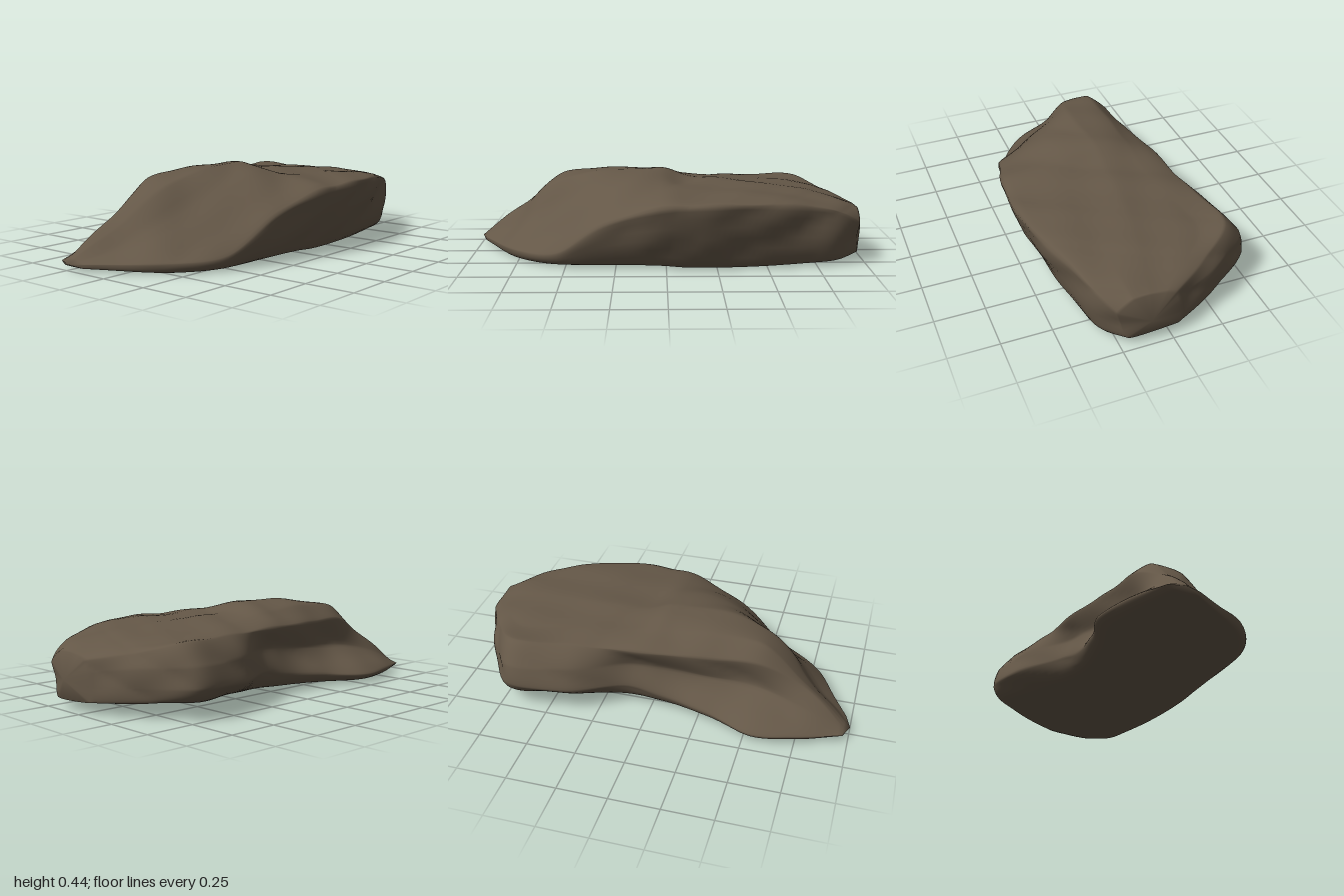
import * as THREE from 'three';

// Stations along the rock, front to back
const Z = [0.97, 0.75, 0.54, 0.3, 0.03, -0.11, -0.4, -0.7, -0.86, -0.97];

const rail = (xs, ys) =>
  new THREE.CatmullRomCurve3(Z.map((z, i) => new THREE.Vector3(xs[i], ys[i], z)));

// Lengthwise edges of the rock, in order round the cross-section
const baseLeft = rail(
  [-0.3, -0.36, -0.38, -0.31, -0.27, -0.28, -0.36, -0.43, -0.26, -0.05],
  [0.02, 0.01, 0.01, 0.02, 0.03, 0.04, 0.06, 0.08, 0.07, 0.06]);
const footLeft = rail(
  [-0.33, -0.41, -0.45, -0.37, -0.33, -0.35, -0.48, -0.51, -0.29, -0.05],
  [0.04, 0.05, 0.05, 0.07, 0.1, 0.13, 0.14, 0.15, 0.14, 0.13]);
const waistLeft = rail(
  [-0.3, -0.29, -0.25, -0.25, -0.29, -0.31, -0.45, -0.49, -0.27, -0.04],
  [0.05, 0.14, 0.18, 0.2, 0.23, 0.24, 0.25, 0.25, 0.23, 0.2]);
const ridgeLeft = rail(
  [-0.28, -0.23, -0.26, -0.28, -0.33, -0.34, -0.37, -0.4, -0.21, -0.02],
  [0.055, 0.22, 0.33, 0.335, 0.345, 0.345, 0.35, 0.345, 0.29, 0.25]);
const crestLeft = rail(
  [-0.26, -0.2, -0.18, -0.18, -0.2, -0.2, -0.22, -0.26, -0.1, 0.02],
  [0.06, 0.23, 0.395, 0.41, 0.41, 0.385, 0.36, 0.335, 0.3, 0.265]);
const crest = rail(
  [-0.24, -0.13, -0.03, 0, -0.02, -0.02, 0, 0.04, 0.08, 0.1],
  [0.06, 0.215, 0.385, 0.435, 0.445, 0.4, 0.375, 0.35, 0.315, 0.275]);
const shoulderRight = rail(
  [-0.21, 0.01, 0.12, 0.18, 0.17, 0.18, 0.22, 0.21, 0.2, 0.18],
  [0.05, 0.14, 0.24, 0.375, 0.41, 0.385, 0.37, 0.345, 0.315, 0.27]);
const rimRight = rail(
  [-0.17, 0.19, 0.33, 0.42, 0.48, 0.495, 0.48, 0.38, 0.33, 0.25],
  [0.04, 0.06, 0.08, 0.24, 0.325, 0.34, 0.345, 0.315, 0.28, 0.21]);
const baseRight = rail(
  [-0.18, 0.15, 0.28, 0.33, 0.35, 0.35, 0.34, 0.31, 0.28, 0.2],
  [0.02, 0.01, 0.01, 0.02, 0.02, 0.01, 0.01, 0.02, 0.03, 0.05]);
const rails = [baseLeft, footLeft, waistLeft, ridgeLeft, crestLeft,
  crest, shoulderRight, rimRight, baseRight];

// Gentle lumps and chips, as an outward offset
function lumps({ x, y, z }) {
  const broad = Math.sin(7 * x + 5 * z + 1) * Math.sin(9 * y - 6 * z + 2 * x);
  const fine = Math.sin(17 * x - 9 * z + 8 * y) * Math.sin(13 * z + 15 * y + 2 + 6 * x);
  const chips = Math.abs(Math.sin(8 * z + 19 * y - 5 * x)) - 0.6;
  return 0.005 * broad + 0.006 * fine + 0.006 * chips;
}

function rockGeometry(rings = 90, sides = 72) {
  const points = [];
  for (let i = 0; i <= rings; i++) {
    const section = new THREE.CatmullRomCurve3(
      rails.map((r) => r.getPoint(i / rings)), true, 'catmullrom', 0.2);
    for (let j = 0; j < sides; j++) points.push(section.getPoint(j / sides));
  }
  const index = [];
  for (let i = 0; i < rings; i++) {
    for (let j = 0; j < sides; j++) {
      const k = (j + 1) % sides;
      const a = i * sides + j, b = i * sides + k;
      index.push(a, b, a + sides, b, b + sides, a + sides);
    }
  }
  // Close the front tip and the blunt back
  const front = points.push(new THREE.Vector3(-0.25, 0.035, 1)) - 1;
  const back = points.push(new THREE.Vector3(0.1, 0.15, -1)) - 1;
  const last = rings * sides;
  for (let j = 0; j < sides; j++) {
    const k = (j + 1) % sides;
    index.push(front, k, j, back, last + j, last + k);
  }

  const geometry = new THREE.BufferGeometry().setFromPoints(points);
  geometry.setIndex(index);
  geometry.computeVertexNormals();

  // Push the surface in and out, leaving the underside flat
  const pos = geometry.attributes.position;
  const normals = geometry.attributes.normal;
  const n = new THREE.Vector3();
  points.forEach((p, i) => {
    n.fromBufferAttribute(normals, i);
    p.addScaledVector(n, lumps(p) * THREE.MathUtils.smoothstep(p.y, 0, 0.12));
    pos.setXYZ(i, p.x, p.y, p.z);
  });

  // Stand on the ground, centred
  geometry.computeBoundingBox();
  const { min, max } = geometry.boundingBox;
  geometry.translate(-(min.x + max.x) / 2, -min.y, -(min.z + max.z) / 2);
  geometry.computeVertexNormals();
  return geometry;
}

export function createModel() {
  const stone = new THREE.MeshStandardMaterial({ color: 0x645747 });
  stone.name = 'brown stone';
  const rock = new THREE.Mesh(rockGeometry(), stone);
  rock.name = 'rock';
  const group = new THREE.Group();
  group.name = 'boulder';
  group.add(rock);
  return group;
}
